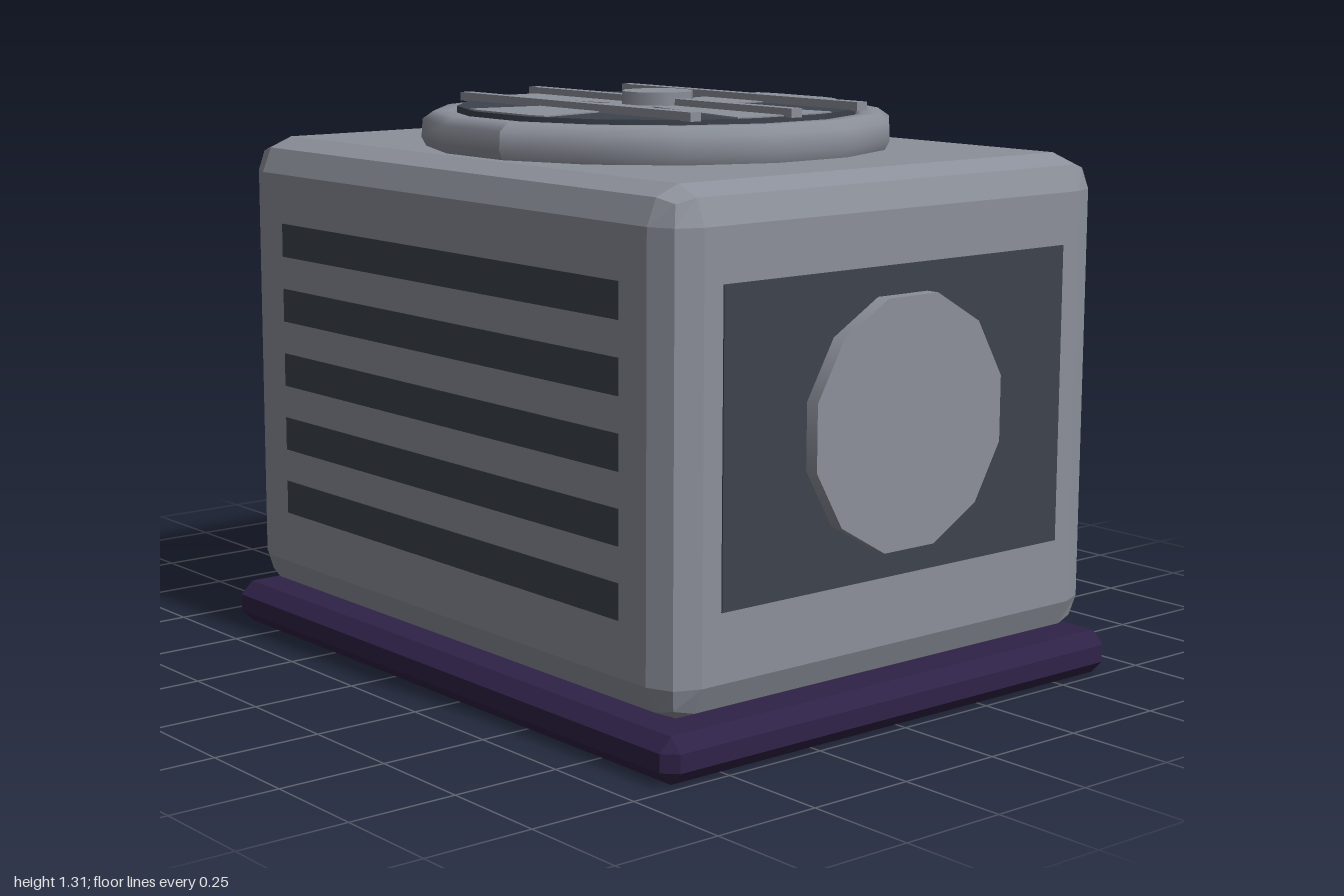
import * as THREE from 'three';
import { RoundedBoxGeometry } from 'three/addons/geometries/RoundedBoxGeometry.js';
import { ConvexGeometry } from 'three/addons/geometries/ConvexGeometry.js';

export function createModel() {
  const model = new THREE.Group();
  model.name = 'airConditioner';

  const material = (name, color) => {
    const m = new THREE.MeshStandardMaterial({ color });
    m.name = name;
    return m;
  };
  const grey = material('casing grey', 0x8c909a);
  const dark = material('vent slate', 0x3d434d);
  const purple = material('base purple', 0x2f2247);

  const add = (name, geometry, mat, x, y, z, parent = model) => {
    const mesh = new THREE.Mesh(geometry, mat);
    mesh.name = name;
    mesh.position.set(x, y, z);
    parent.add(mesh);
    return mesh;
  };
  const box = (name, w, h, d, mat, x, y, z, parent) =>
    add(name, new THREE.BoxGeometry(w, h, d), mat, x, y, z, parent);

  // Box with one flat chamfer on every edge
  const chamferBox = (w, h, d, c) => {
    const points = [];
    for (const sx of [-1, 1]) for (const sy of [-1, 1]) for (const sz of [-1, 1])
      for (let axis = 0; axis < 3; axis++) {
        const p = [w / 2 - c, h / 2 - c, d / 2 - c];
        p[axis] += c;
        points.push(new THREE.Vector3(sx * p[0], sy * p[1], sz * p[2]));
      }
    return new ConvexGeometry(points);
  };

  const CX = 0.175;

  // Base slab and casing
  add('base', chamferBox(1.65, 0.1, 1.32, 0.03), purple, CX, 0.05, 0);
  const casing = new RoundedBoxGeometry(1.58, 1.09, 1.25, 1, 0.08);
  casing.computeVertexNormals(); // faceted edges
  add('casing', casing, grey, CX, 0.645, 0);

  // Vent slats on front and back
  for (const side of [1, -1])
    for (let i = 0; i < 5; i++)
      box(side > 0 ? 'frontSlat' : 'backSlat', 1.25, 0.078, 0.008, dark, CX, 0.34 + i * 0.154, side * 0.624);

  // Side panel with a raised twelve-sided cover
  box('sidePanel', 0.008, 0.665, 0.99, dark, 0.964, 0.662, 0);
  const cover = new THREE.CylinderGeometry(0.279, 0.279, 0.04, 12);
  cover.rotateY(Math.PI / 12).rotateZ(Math.PI / 2);
  add('sideCover', cover, grey, 0.98, 0.662, 0);

  // Roof fan
  const fan = new THREE.Group();
  fan.name = 'fan';
  fan.position.set(0.17, 0, 0);
  model.add(fan);

  const rim = [[0.455, 1.18], [0.455, 1.255], [0.475, 1.27], [0.512, 1.27], [0.538, 1.252], [0.541, 1.21], [0.525, 1.18]]
    .map(([r, y]) => new THREE.Vector2(r, y)).reverse();
  const rimGeometry = new THREE.LatheGeometry(rim.reverse(), 16, Math.PI / 16);
  // Keep the rim facing outwards whatever the profile direction
  const index = rimGeometry.index.array;
  const pos = rimGeometry.attributes.position;
  const corner = i => new THREE.Vector3().fromBufferAttribute(pos, i);
  const tri = new THREE.Triangle(corner(index[12]), corner(index[13]), corner(index[14]));
  const topNormal = tri.getNormal(new THREE.Vector3());
  if (topNormal.y < 0) {
    for (let i = 0; i < index.length; i += 3) [index[i], index[i + 1]] = [index[i + 1], index[i]];
    rimGeometry.computeVertexNormals();
  }
  add('fanRim', rimGeometry, grey, 0, 0, 0, fan);

  const disc = new THREE.CylinderGeometry(0.46, 0.46, 0.08, 16);
  disc.rotateY(Math.PI / 16);
  add('fanWell', disc, dark, 0, 1.24, 0, fan);

  // Four flared blades
  const outline = new THREE.Shape();
  outline.moveTo(-0.06, 0);
  outline.lineTo(0.06, 0);
  outline.lineTo(0.075, 0.075);
  outline.lineTo(0.137, 0.432);
  outline.lineTo(0.088, 0.443);
  outline.lineTo(-0.088, 0.443);
  outline.lineTo(-0.137, 0.432);
  outline.lineTo(-0.075, 0.075);
  const bladeGeometry = new THREE.ExtrudeGeometry(outline, { depth: 0.004, bevelEnabled: false });
  bladeGeometry.rotateX(-Math.PI / 2);
  for (let i = 0; i < 4; i++)
    add('fanBlade', bladeGeometry, grey, 0, 1.279, 0, fan).rotation.y = i * Math.PI / 2;

  // Guard bars and hub
  for (const [z, length] of [[-0.247, 0.83], [0, 0.935], [0.242, 0.83]])
    box('guardBar', length, 0.02, 0.03, grey, 0, 1.288, z, fan);
  const hub = new THREE.CylinderGeometry(0.085, 0.085, 0.035, 8);
  hub.rotateY(Math.PI / 8);
  add('fanHub', hub, grey, 0, 1.295, 0, fan);

  // Six-sided drain pipe
  const pipe = length => new THREE.CylinderGeometry(0.0645, 0.0645, length, 6);
  add('drainPipeDown', pipe(0.478), dark, -0.944, 0.239, -0.335);
  add('drainPipeAcross', pipe(0.36), dark, -0.764, 0.418, -0.335).rotation.z = Math.PI / 2;

  return model;
}
